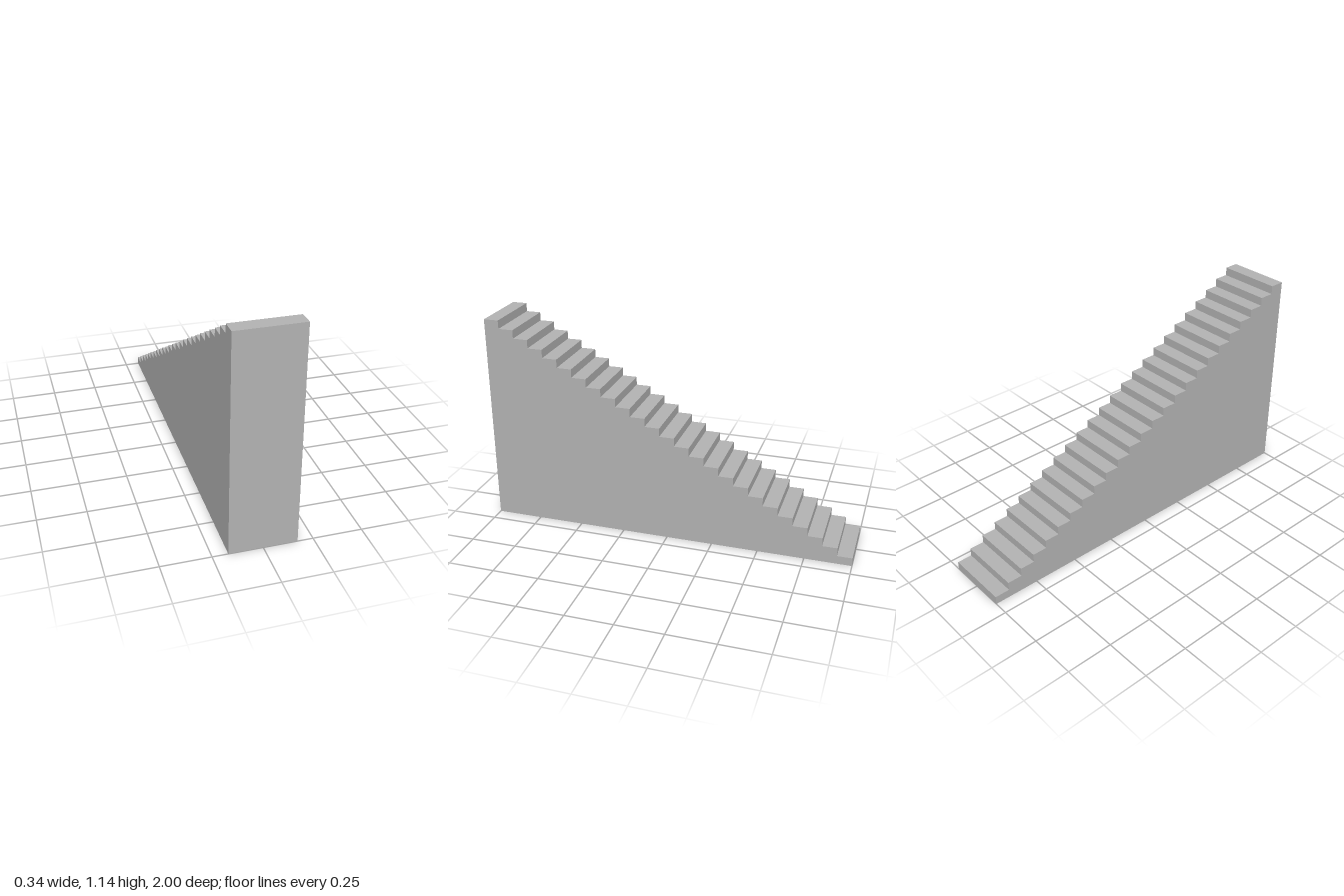
import * as THREE from 'three';

const STEPS = 25;
const LENGTH = 2;
const HEIGHT = 1.143;
const WIDTH = 0.343;

// Stepped side outline: shape x becomes world z, rising towards the front
function stairProfile() {
  const run = LENGTH / STEPS;
  const rise = HEIGHT / STEPS;
  const shape = new THREE.Shape();
  shape.moveTo(-LENGTH / 2, 0);
  for (let i = 0; i < STEPS; i++) {
    const z = -LENGTH / 2 + i * run;
    shape.lineTo(z, (i + 1) * rise);
    shape.lineTo(z + run, (i + 1) * rise);
  }
  shape.lineTo(LENGTH / 2, 0);
  shape.closePath();
  return shape;
}

export function createModel() {
  const group = new THREE.Group();
  group.name = 'staircase';

  const stone = new THREE.MeshStandardMaterial({ color: 0xb2b2b2 });
  stone.name = 'grey stone';

  // Solid flight of steps, extruded across its width
  const geometry = new THREE.ExtrudeGeometry(stairProfile(), { depth: WIDTH, bevelEnabled: false });
  geometry.translate(0, 0, -WIDTH / 2);
  geometry.rotateY(-Math.PI / 2);

  const steps = new THREE.Mesh(geometry, stone);
  steps.name = 'steps';
  group.add(steps);
  return group;
}
